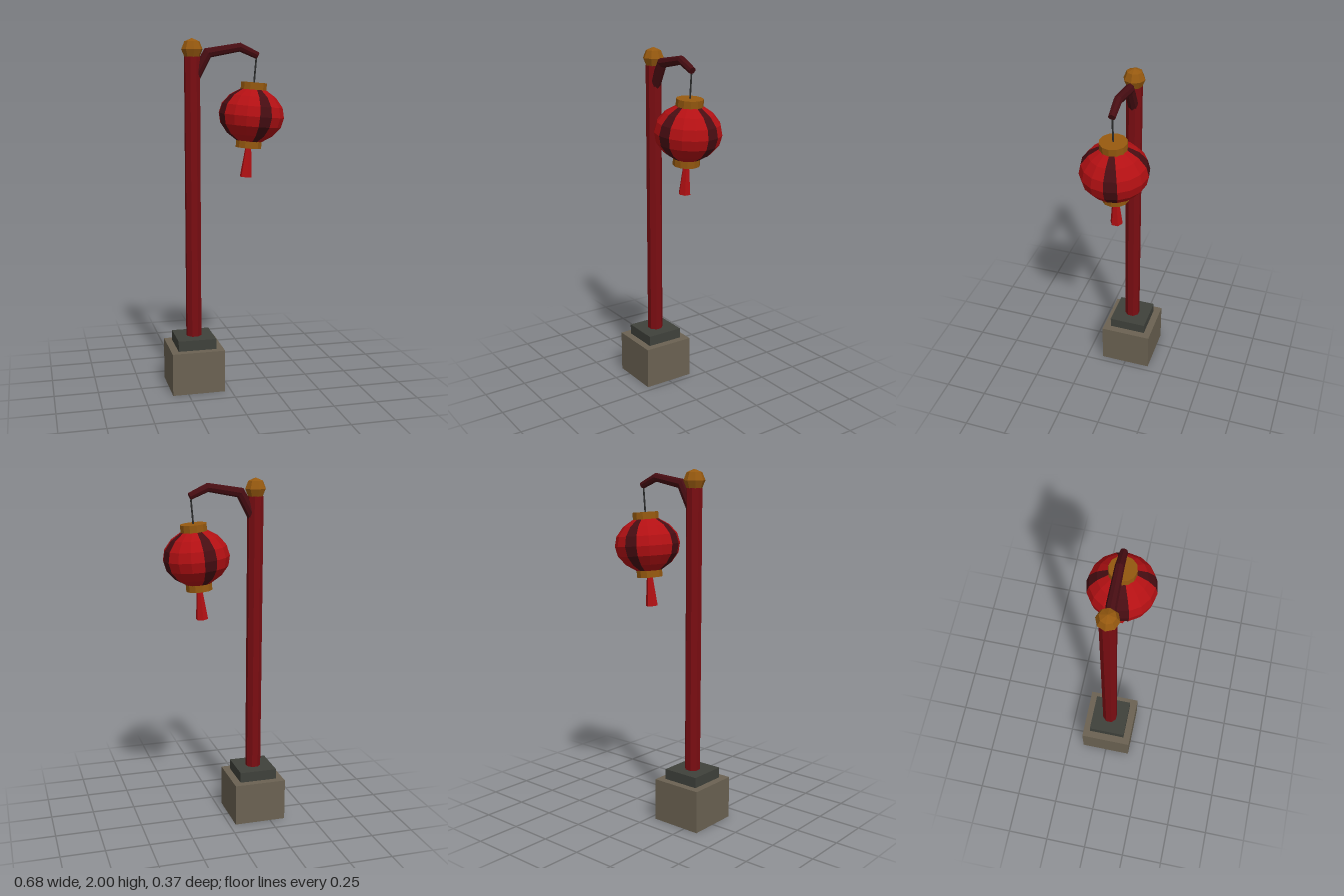
import * as THREE from 'three';
import { mergeGeometries } from 'three/addons/utils/BufferGeometryUtils.js';

const mat = (name, color) => {
  const m = new THREE.MeshStandardMaterial({ color });
  m.name = name;
  return m;
};

// Faceted copy of a geometry
const facet = (geo) => {
  const g = geo.index ? geo.toNonIndexed() : geo;
  g.computeVertexNormals();
  return g;
};

function add(parent, name, geo, material, x = 0, y = 0, z = 0) {
  const mesh = new THREE.Mesh(facet(geo), material);
  mesh.name = name;
  mesh.position.set(x, y, z);
  parent.add(mesh);
  return mesh;
}

// Tapered, mitred arm: a cylinder whose rings are moved onto a bent path in the xy plane
function bentArm(path, r0, r1, sides) {
  const n = path.length - 1;
  const geo = new THREE.CylinderGeometry(1, 1, 1, sides, n);
  const dir = (i) => path[i + 1].clone().sub(path[i]).normalize();
  const pos = geo.attributes.position;
  for (let v = 0; v < pos.count; v++) {
    const i = Math.round((pos.getY(v) + 0.5) * n);
    const a = dir(Math.max(i - 1, 0));
    const t = a.clone().add(dir(Math.min(i, n - 1))).normalize();
    const r = THREE.MathUtils.lerp(r0, r1, i / n);
    const k = (pos.getX(v) * r) / t.dot(a);
    pos.setXYZ(v, path[i].x + t.y * k, path[i].y - t.x * k, pos.getZ(v) * r);
  }
  return geo;
}

export function createModel() {
  const stone = mat('stone', 0x6b6252);
  const slate = mat('dark slate', 0x3f413b);
  const postRed = mat('post red', 0x7a0d12);
  const darkRed = mat('dark red', 0x470d12);
  const lanternRed = mat('lantern red', 0xb31013);
  const gold = mat('gold', 0x96590f);
  const iron = mat('iron', 0x2b2c2c);

  const model = new THREE.Group();
  model.name = 'lanternPost';
  const px = -0.188;

  // Stepped base, post and finial
  add(model, 'baseBlock', new THREE.BoxGeometry(0.304, 0.245, 0.304), stone, px, 0.1225);
  add(model, 'plinth', new THREE.BoxGeometry(0.22, 0.06, 0.22), slate, px, 0.275);
  const post = new THREE.CylinderGeometry(0.045, 0.045, 1.595, 8).rotateY(Math.PI / 8);
  add(model, 'post', post, postRed, px, 1.1025);
  add(model, 'finial', new THREE.SphereGeometry(0.06, 8, 4), gold, px, 1.94);

  // Bracket arm
  const path = [[-0.175, 1.785], [-0.1, 1.92], [0.085, 1.952], [0.187, 1.906]]
    .map(([x, y]) => new THREE.Vector2(x, y));
  add(model, 'bracketArm', bentArm(path, 0.031, 0.02, 8), darkRed);

  // Hanging lantern, swung slightly towards the post
  const lantern = new THREE.Group();
  lantern.name = 'lantern';
  lantern.position.set(0.18, 1.9, 0);
  lantern.rotation.z = -0.087;
  model.add(lantern);

  add(lantern, 'cord', new THREE.CylinderGeometry(0.005, 0.005, 0.14, 6), iron, 0, -0.08);
  add(lantern, 'topCap', new THREE.CylinderGeometry(0.075, 0.075, 0.043, 12), gold, 0, -0.164);
  add(lantern, 'bottomCap', new THREE.CylinderGeometry(0.075, 0.075, 0.043, 12), gold, 0, -0.49);
  add(lantern, 'tassel', new THREE.CylinderGeometry(0.017, 0.035, 0.17, 6), lanternRed, 0, -0.594);

  // Sixteen gores, every fourth one dark
  const profile = [[0.07, -0.475], [0.132, -0.435], [0.174, -0.383], [0.187, -0.327],
    [0.174, -0.271], [0.132, -0.219], [0.07, -0.18]]
    .map(([x, y]) => new THREE.Vector2(x, y));
  const step = Math.PI / 8;
  const bright = [];
  const dark = [];
  for (let i = 0; i < 16; i++) {
    const gore = new THREE.LatheGeometry(profile, 1, i * step, step);
    (i % 4 === 0 ? dark : bright).push(gore);
  }
  add(lantern, 'lanternPanels', mergeGeometries(bright), lanternRed);
  add(lantern, 'lanternRibs', mergeGeometries(dark), darkRed);

  return model;
}
